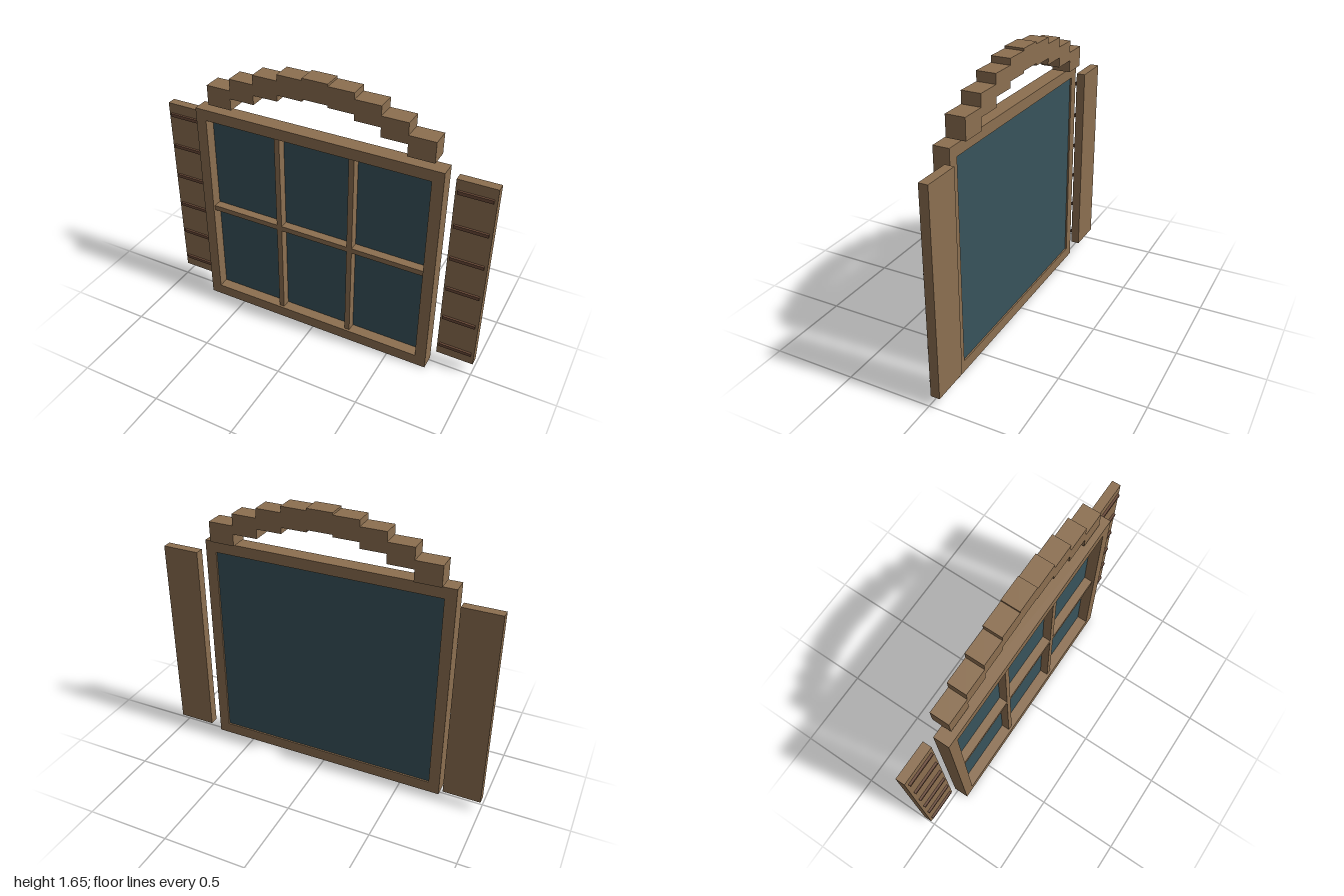
import * as THREE from 'three';

const wood = new THREE.MeshStandardMaterial({ color: 0x8c6f50 });
const darkWood = new THREE.MeshStandardMaterial({ color: 0x6b4a38 });
const glass = new THREE.MeshStandardMaterial({ color: 0x38535b });

// Box given by its limits on each axis
function box(name, material, [x0, x1], [y0, y1], [z0, z1]) {
  const mesh = new THREE.Mesh(new THREE.BoxGeometry(x1 - x0, y1 - y0, z1 - z0), material);
  mesh.position.set((x0 + x1) / 2, (y0 + y1) / 2, (z0 + z1) / 2);
  mesh.name = name;
  return mesh;
}

function rectangle(Type, x0, y0, x1, y1) {
  return new Type([[x0, y0], [x1, y0], [x1, y1], [x0, y1]].map(p => new THREE.Vector2(...p)));
}

// Outer frame with one opening, glass pane and glazing bars
function createWindow() {
  const group = new THREE.Group();
  group.name = 'window';

  const outline = rectangle(THREE.Shape, -0.742, 0, 0.742, 1.34);
  outline.holes.push(rectangle(THREE.Path, -0.677, 0.068, 0.677, 1.274));
  const frame = new THREE.Mesh(
    new THREE.ExtrudeGeometry(outline, { depth: 0.093, bevelEnabled: false }), wood);
  frame.position.z = -0.021;
  frame.name = 'frame';
  group.add(frame);

  group.add(box('glassPane', glass, [-0.677, 0.677], [0.068, 1.274], [-0.011, 0.006]));
  for (const x of [-0.227, 0.227]) {
    group.add(box('verticalBar', wood, [x - 0.016, x + 0.016], [0.068, 1.274], [0.006, 0.058]));
  }
  group.add(box('horizontalBar', wood, [-0.677, 0.677], [0.655, 0.687], [0.006, 0.058]));
  return group;
}

// Shutter board with six slats on its front
function createShutter(side) {
  const group = new THREE.Group();
  group.name = side > 0 ? 'leftShutter' : 'rightShutter';
  const span = (a, b) => side > 0 ? [a, b] : [-b, -a];
  group.add(box('shutterBoard', wood, span(0.777, 1), [0.071, 1.272], [-0.067, -0.014]));
  for (let i = 0; i < 6; i++) {
    const y = 0.145 + i * 0.211;
    group.add(box('slat', darkWood, span(0.791, 0.983), [y - 0.01, y + 0.01], [-0.018, -0.001]));
  }
  return group;
}

// Stepped arch of nine blocks
function createArch() {
  const group = new THREE.Group();
  group.name = 'arch';
  const tops = [1.655, 1.642, 1.606, 1.55, 1.48];
  for (let i = -4; i <= 4; i++) {
    const x = i * 0.15, top = tops[Math.abs(i)];
    group.add(box('archBlock', wood, [x - 0.075, x + 0.075], [top - 0.12, top], [-0.072, 0.039]));
  }
  return group;
}

export function createModel() {
  const model = new THREE.Group();
  model.name = 'shutteredWindow';
  model.add(createWindow(), createShutter(1), createShutter(-1), createArch());
  return model;
}
